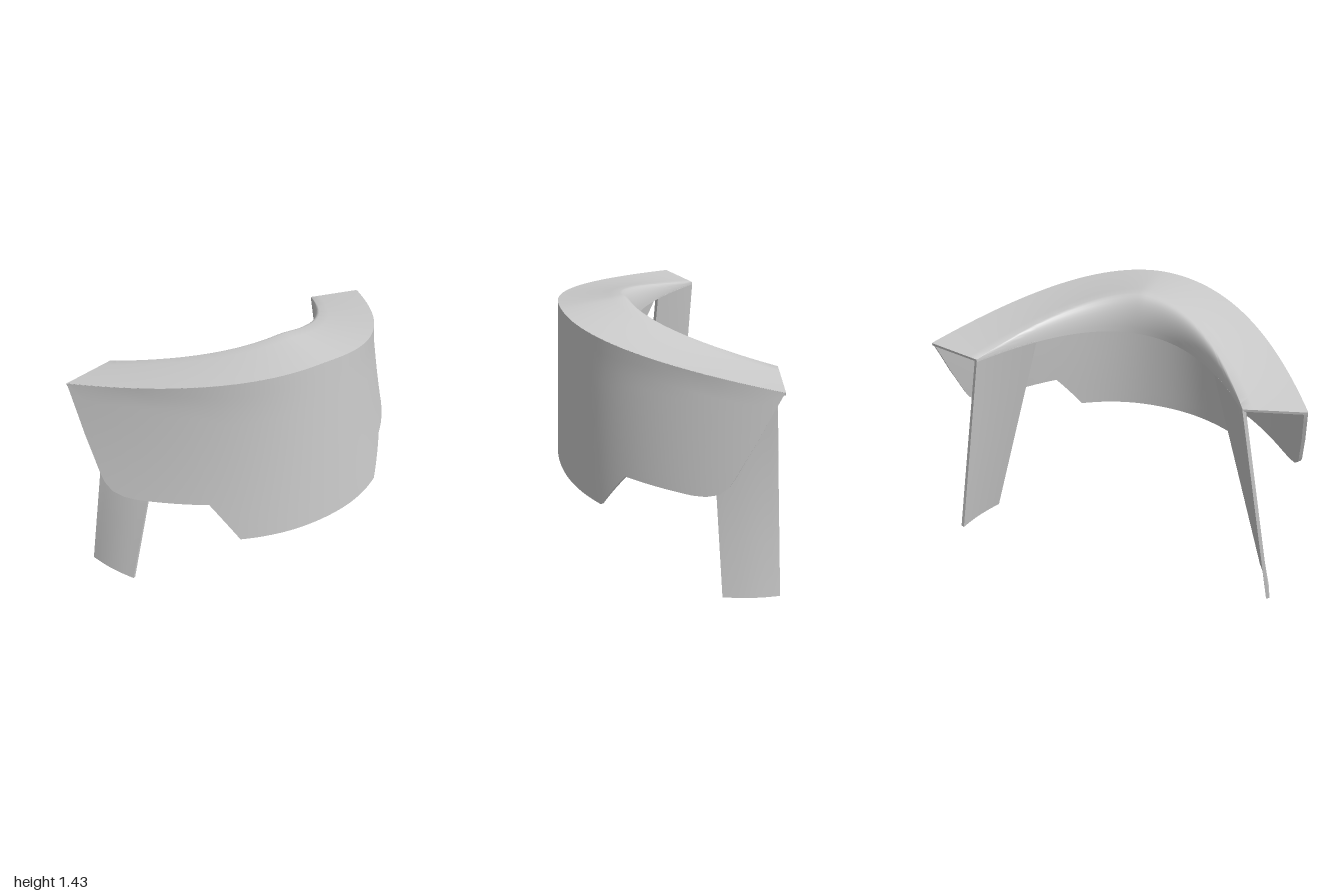
import * as THREE from 'three';
import { toCreasedNormals } from 'three/addons/utils/BufferGeometryUtils.js';

const lerp = THREE.MathUtils.lerp;
const material = new THREE.MeshStandardMaterial({ color: 0xcccccc, side: THREE.DoubleSide });

// Bent sheet: point(u, v) gives the front face, the back is offset along the normals
function sheet(name, point, us, nv, thickness) {
  const pos = [], idx = [], nu = us.length - 1;
  for (const u of us) for (let j = 0; j <= nv; j++) pos.push(...point(u, j / nv));
  const at = (i, j) => i * (nv + 1) + j;
  for (let i = 0; i < nu; i++) for (let j = 0; j < nv; j++) {
    const a = at(i, j), b = at(i + 1, j), c = at(i + 1, j + 1), d = at(i, j + 1);
    idx.push(a, d, c, a, c, b);
  }
  const front = new THREE.BufferGeometry();
  front.setAttribute('position', new THREE.Float32BufferAttribute(pos, 3));
  front.setIndex(idx);
  front.computeVertexNormals();
  const n = front.attributes.normal.array, count = pos.length / 3;
  const all = pos.concat(pos.map((p, k) => p - n[k] * thickness));
  const faces = idx.slice();
  for (let k = 0; k < idx.length; k += 3) faces.push(idx[k] + count, idx[k + 2] + count, idx[k + 1] + count);
  // rim around the four edges
  const rim = (a, b) => faces.push(a, b, b + count, a, b + count, a + count);
  for (let i = 0; i < nu; i++) {
    rim(at(i, 0), at(i + 1, 0));
    rim(at(i + 1, nv), at(i, nv));
  }
  for (let j = 0; j < nv; j++) {
    rim(at(0, j + 1), at(0, j));
    rim(at(nu, j), at(nu, j + 1));
  }
  const geo = new THREE.BufferGeometry();
  geo.setAttribute('position', new THREE.Float32BufferAttribute(all, 3));
  geo.setIndex(faces);
  const mesh = new THREE.Mesh(toCreasedNormals(geo, 0.6), material);
  mesh.name = name;
  return mesh;
}

const range = (a, b, n) => Array.from({ length: n + 1 }, (_, i) => lerp(a, b, i / n));

// Plan curve of the outer shell, widening towards the bottom
function shellX(y, z) {
  const h = (y - 0.465) / 0.775;
  const b = Math.min(0.87, 0.59 + 0.28 * Math.pow(Math.max(h, 0), 1.1));
  return 0.49 - 0.03 * (y - 0.465) / 0.935 - b * Math.pow(Math.abs(z), 2.15);
}
const rimY = z => 1.4 - 0.16 * Math.pow(Math.abs(z), 1.6);

// Lower outline of the shell on one side: z, y, and the z of the rim above
const outline = [
  [0, 0.465, 0], [0.48, 0.465, 0.48], [0.6, 0.68, 0.6], [0.87, 0.68, 0.85], [0.915, 0.688, 0.9],
  [0.95, 0.71, 0.93], [0.968, 0.75, 0.95], [0.975, 0.79, 0.96], [0.99, 0.99, 0.98], [1, 1.225, 1],
];

function shellPoint(u, v) {
  const s = Math.abs(u), i = Math.min(Math.floor(s), outline.length - 2);
  const [zb, yb, zt] = outline[i].map((p, k) => lerp(p, outline[i + 1][k], s - i));
  const y = lerp(yb, rimY(zt), v), z = lerp(zb, zt, v);
  return [shellX(y, z), y, z * Math.sign(u)];
}

// Inner curve, where the roll meets the front legs
const innerX = t => 0.04 - 0.53 * Math.pow(Math.abs(t), 2.05);
const innerZ = x => 0.7 * Math.pow((0.04 - x) / 0.53, 1 / 2.05);
const rollBottom = 1.23;

// Top rail: a flat face from the outer rim to the crest, then a roll down to the inner curve
function railPoint(t, v) {
  const a = Math.abs(t);
  const ox = 0.46 - 0.87 * Math.pow(a, 2.15), ix = innerX(t), iz = 0.7 * t;
  const w = 0.21 * (1 - Math.pow(a, 1.5));
  const kx = lerp(ix, ox, w), kz = lerp(iz, t, w);
  const ky = 1.245 + 0.19 * (1 - Math.pow(a, 1.35));
  if (v <= 0.4) {
    const f = v / 0.4;
    return [lerp(ox, kx, f), lerp(rimY(t), ky, f), lerp(t, kz, f)];
  }
  const q = (v - 0.4) / 0.6 * Math.PI / 2;
  return [lerp(kx, ix, Math.sin(q)), lerp(rollBottom, ky, Math.cos(q)), lerp(kz, iz, Math.sin(q))];
}

// Front leg: curved plate splaying outwards from the inner curve
function legPoint(side) {
  return (u, v) => {
    const f = side > 0 ? u : 1 - u;
    const x = lerp(-0.21, -0.49, f);
    const foot = lerp(0.815, 0.91, f) + 0.012 * Math.sin(Math.PI * f);
    return [x, lerp(rollBottom + 0.005, lerp(0.005, 0.03, f), v), side * lerp(innerZ(x), foot, v)];
  };
}

export function createModel() {
  const group = new THREE.Group();
  group.name = 'chairShell';

  // columns of the shell, finer along the long spans
  const half = [...range(0, 1, 12), ...range(1, 2, 4).slice(1), ...range(2, 3, 8).slice(1),
    ...range(3, 9, 18).slice(1)];
  const columns = [...half.slice(1).reverse().map(u => -u), ...half];
  group.add(sheet('backShell', shellPoint, columns, 12, 0.02));
  group.add(sheet('topRail', railPoint, range(-1, 1, 64), 15, 0.015));

  for (const side of [1, -1]) {
    group.add(sheet(side > 0 ? 'frontLegA' : 'frontLegB', legPoint(side), range(0, 1, 8), 4, 0.018));
  }
  return group;
}
